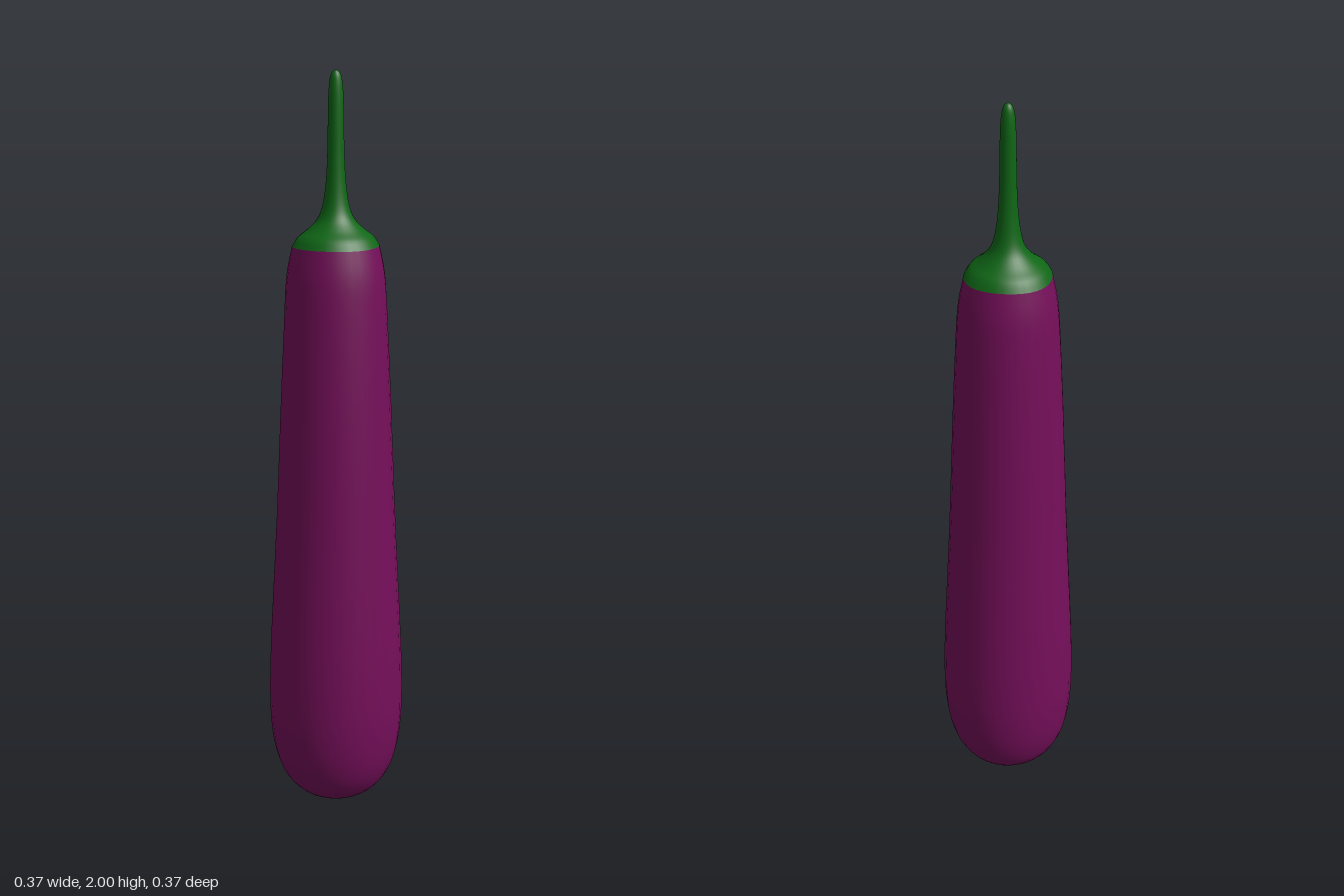
import * as THREE from 'three';

// Smooth lathe through [radius, height] points, slightly squared around the shoulder
function turned(name, points, steps, color) {
  const curve = new THREE.SplineCurve(points.map(([r, y]) => new THREE.Vector2(r, y)));
  const profile = curve.getPoints(steps);
  profile.forEach((p) => { p.x = Math.max(p.x, 0); });
  const geometry = new THREE.LatheGeometry(profile, 32);
  const pos = geometry.attributes.position;
  for (let i = 0; i < pos.count; i++) {
    const x = pos.getX(i), y = pos.getY(i), z = pos.getZ(i);
    const fade = THREE.MathUtils.smoothstep(y, 1.3, 1.54) * (1 - THREE.MathUtils.smoothstep(y, 1.57, 1.66));
    const k = 1 + 0.025 * fade * (1 - Math.cos(4 * Math.atan2(z, x)));
    pos.setXYZ(i, x * k, y, z * k);
  }
  const mesh = new THREE.Mesh(geometry, new THREE.MeshStandardMaterial({ color }));
  mesh.name = name;
  return mesh;
}

export function createModel() {
  const group = new THREE.Group();
  group.name = 'eggplant';

  // Long purple fruit, widest near the rounded bottom
  group.add(turned('fruit', [
    [0, 0], [0.06, 0.01], [0.112, 0.038], [0.15, 0.088], [0.173, 0.16], [0.183, 0.25],
    [0.184, 0.35], [0.18, 0.47], [0.172, 0.62], [0.161, 0.82], [0.152, 1.02],
    [0.143, 1.22], [0.133, 1.4], [0.125, 1.49], [0.111, 1.56],
  ], 56, 0x750f5a));

  // Green cap flowing into the thin stalk with a rounded tip
  group.add(turned('capAndStalk', [
    [0.111, 1.56], [0.096, 1.583], [0.07, 1.604], [0.047, 1.63], [0.034, 1.665],
    [0.026, 1.72], [0.022, 1.79], [0.0205, 1.87], [0.019, 1.94], [0.015, 1.98],
    [0.008, 1.996], [0, 2],
  ], 44, 0x0f6616));

  return group;
}
